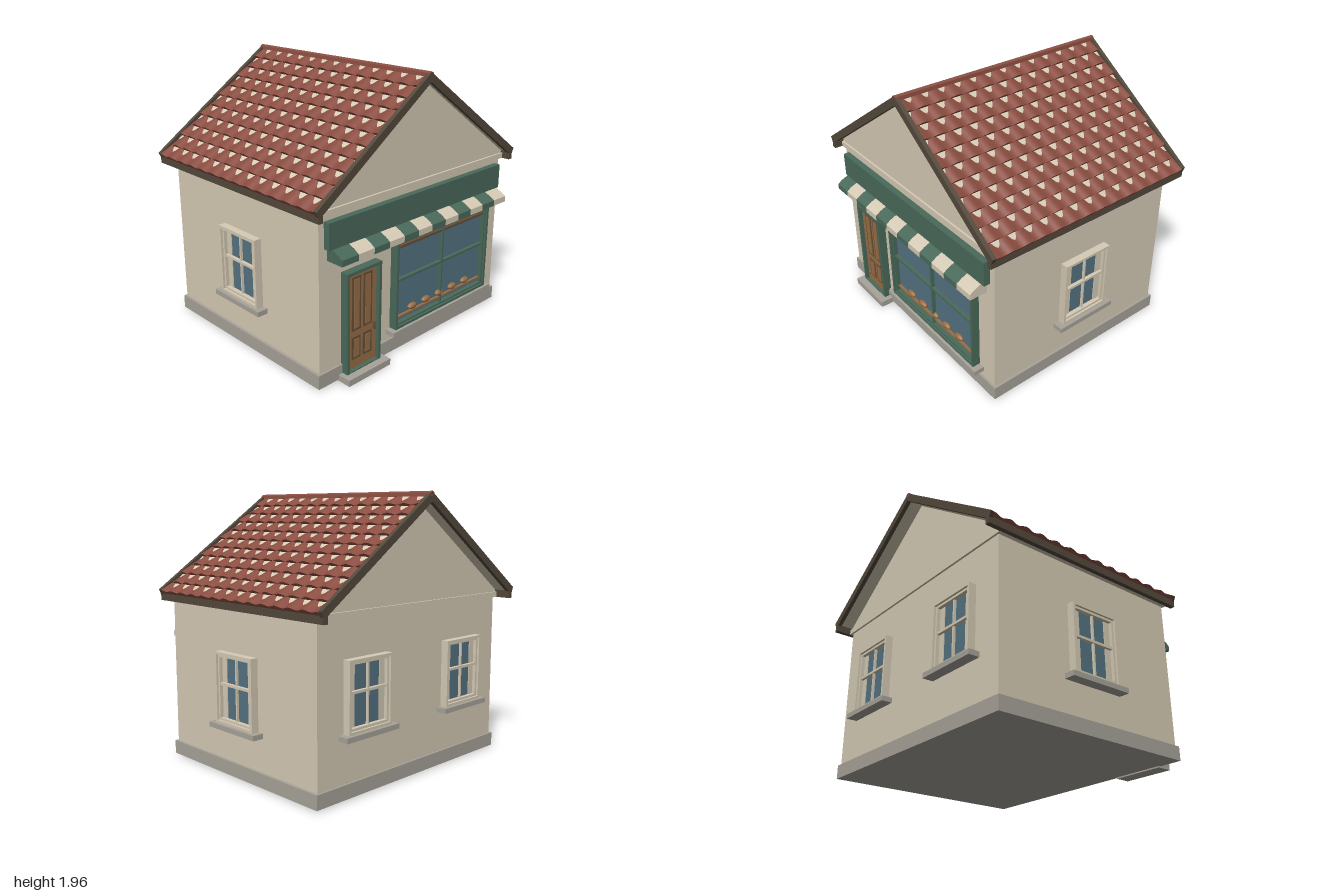
import * as THREE from 'three';

const mat = (name, color, side = THREE.FrontSide) => {
  const m = new THREE.MeshStandardMaterial({ color, side });
  m.name = name;
  return m;
};

export function createModel() {
  const render = mat('cream render', 0xd6cbb5);
  const stone = mat('grey stone', 0xa8a49a);
  const green = mat('shopfront green', 0x4a6a5b);
  const tile = mat('red roof tile', 0x8a4d41, THREE.DoubleSide);
  const timber = mat('dark timber', 0x54493c);
  const wood = mat('door wood', 0x986f47);
  const darkWood = mat('panel moulding', 0x66503a);
  const glass = mat('window glass', 0x557382);

  const house = new THREE.Group();
  house.name = 'shop';

  const add = (parent, name, geometry, material, x = 0, y = 0, z = 0) => {
    const m = new THREE.Mesh(geometry, material);
    m.name = name;
    m.position.set(x, y, z);
    parent.add(m);
    return m;
  };
  // Box given by its lower and upper limits on each axis
  const box = (parent, name, material, x0, x1, y0, y1, z0, z1) =>
    add(parent, name, new THREE.BoxGeometry(x1 - x0, y1 - y0, z1 - z0), material,
      (x0 + x1) / 2, (y0 + y1) / 2, (z0 + z1) / 2);
  const extrude = (points, depth) => new THREE.ExtrudeGeometry(
    new THREE.Shape(points.map(([x, y]) => new THREE.Vector2(x, y))), { depth, bevelEnabled: false });
  // Rectangular surround with an open middle
  const frame = (parent, name, material, x0, x1, y0, y1, t, z0, z1) => {
    const ring = (a, b, c, d) => [[a, c], [b, c], [b, d], [a, d]].map(([x, y]) => new THREE.Vector2(x, y));
    const s = new THREE.Shape(ring(x0, x1, y0, y1));
    s.holes.push(new THREE.Path(ring(x0 + t, x1 - t, y0 + t, y1 - t)));
    add(parent, name, new THREE.ExtrudeGeometry(s, { depth: z1 - z0, bevelEnabled: false }), material, 0, 0, z0);
  };

  // Walls, plinth and gables
  box(house, 'walls', render, -0.92, 0.92, 0.03, 1.2, -0.77, 0.77);
  box(house, 'plinth', stone, -0.94, 0.94, 0.01, 0.11, -0.785, 0.785);
  add(house, 'gables', extrude([[-0.95, 1.18], [0.95, 1.18], [0.95, 1.235], [0, 1.9], [-0.95, 1.235]], 1.54),
    render, 0, 0, -0.77);
  for (const s of [-1, 1])
    add(house, 'gableBand', new THREE.BoxGeometry(1.9, 0.04, 0.02), render, 0, 1.2, s * 0.775);

  // Roof deck, verge boards and eaves boards
  const slope = 0.695;
  const chevron = (top, bottom, x) => [[0, top], [x, top - slope * x], [x, bottom - slope * x], [0, bottom],
    [-x, bottom - slope * x], [-x, top - slope * x]];
  add(house, 'roofDeck', extrude(chevron(1.925, 1.9, 0.97), 1.68), render, 0, 0, -0.865);
  for (const z of [-0.895, 0.815])
    add(house, 'vergeBoard', extrude([[0, 1.955], [1, 1.26], [0.98, 1.215], [0.945, 1.232], [0, 1.89],
      [-0.945, 1.232], [-0.98, 1.215], [-1, 1.26]], 0.03), timber, 0, 0, z);
  for (const s of [-1, 1])
    add(house, 'eavesBoard', new THREE.BoxGeometry(0.035, 0.055, 1.74), timber, s * 0.965, 1.2075, -0.025);

  // Wavy tile courses, each overlapping the next with a half-wave stagger
  const tileSlope = () => {
    const rows = 11, waves = 13, segs = waves * 8, length = 1.68, amp = 0.007, lift = 0.016;
    const c = 1 / Math.hypot(1, slope), sn = slope * c, run = 0.988 / c / rows;
    const pos = [], index = [];
    for (let r = 0; r < rows; r++) {
      const start = pos.length / 3;
      for (let i = 0; i <= segs; i++) {
        const wave = amp * Math.cos((i / 8) * Math.PI * 2 + r * Math.PI);
        const z = (i / segs - 0.5) * length;
        const edge = [[r * run, wave], [(r + 1) * run, wave + lift], [(r + 1) * run, wave + lift], [(r + 1) * run, -0.008]];
        for (const [d, h] of edge) pos.push(d * c + h * sn, 1.925 - d * sn + h * c, z);
      }
      for (let i = 0; i < segs; i++)
        for (const k of [0, 2]) {
          const a = start + i * 4 + k, b = a + 1, e = a + 4, f = a + 5;
          index.push(a, e, b, b, e, f);
        }
    }
    const g = new THREE.BufferGeometry();
    g.setAttribute('position', new THREE.Float32BufferAttribute(pos, 3));
    g.setIndex(index);
    g.computeVertexNormals();
    return g;
  };
  const slopeGeometry = tileSlope();
  for (const turn of [0, Math.PI])
    add(house, 'roofTiles', slopeGeometry, tile, 0, 0, -0.025).rotation.y = turn;
  add(house, 'ridge', extrude([[-0.022, 1.925], [0.022, 1.925], [0.018, 1.95], [0, 1.96], [-0.018, 1.95]], 1.74),
    tile, 0, 0, -0.895);

  // Sash windows, built facing +z with the sill top at y = 0
  const sashWindow = (height, x, y, z, turn) => {
    const g = new THREE.Group();
    g.name = 'sashWindow';
    frame(g, 'windowSurround', render, -0.2, 0.2, 0, height, 0.018, 0, 0.055);
    frame(g, 'sashFrame', render, -0.183, 0.183, 0.017, height - 0.017, 0.018, 0, 0.04);
    box(g, 'pane', glass, -0.17, 0.17, 0.03, height - 0.03, 0, 0.01);
    for (const s of [-1, 1])
      add(g, 'curtain', new THREE.BoxGeometry(0.05, height - 0.06, 0.006), render, s * 0.14, height / 2, 0.012);
    box(g, 'glazingBar', render, -0.006, 0.006, 0.03, height - 0.03, 0.008, 0.028);
    box(g, 'meetingRail', render, -0.17, 0.17, height * 0.55 - 0.009, height * 0.55 + 0.009, 0.008, 0.035);
    box(g, 'windowSill', stone, -0.245, 0.245, -0.036, 0, 0, 0.08);
    g.position.set(x, y, z);
    g.rotation.y = turn;
    house.add(g);
  };
  for (const s of [-1, 1]) {
    sashWindow(0.5, s * 0.92, 0.38, 0, s * Math.PI / 2);
    sashWindow(0.48, s * 0.495, 0.44, -0.77, Math.PI);
  }

  // Front door with raised panels
  const door = new THREE.Group();
  door.name = 'frontDoor';
  house.add(door);
  frame(door, 'doorFrame', green, -0.73, -0.415, 0.03, 0.77, 0.022, 0.77, 0.83);
  box(door, 'doorLeaf', wood, -0.71, -0.435, 0.04, 0.75, 0.77, 0.8);
  for (const x of [-0.623, -0.519])
    for (const [y0, y1] of [[0.33, 0.717], [0.118, 0.283]]) {
      box(door, 'panelMoulding', darkWood, x - 0.04, x + 0.04, y0, y1, 0.799, 0.804);
      box(door, 'doorPanel', wood, x - 0.024, x + 0.024, y0 + 0.017, y1 - 0.017, 0.8, 0.808);
    }
  box(door, 'doorHandle', darkWood, -0.466, -0.458, 0.28, 0.335, 0.8, 0.82);
  box(door, 'doorStep', stone, -0.765, -0.375, 0, 0.045, 0.77, 0.885);

  // Shop window with loaves on a shelf
  const shop = new THREE.Group();
  shop.name = 'shopWindow';
  house.add(shop);
  frame(shop, 'outerFrame', green, -0.265, 0.755, 0.195, 0.855, 0.02, 0.77, 0.83);
  frame(shop, 'innerFrame', green, -0.246, 0.736, 0.214, 0.836, 0.013, 0.77, 0.815);
  box(shop, 'shopPane', glass, -0.24, 0.73, 0.21, 0.84, 0.77, 0.78);
  box(shop, 'mullion', green, 0.238, 0.252, 0.22, 0.83, 0.775, 0.808);
  box(shop, 'transom', green, -0.24, 0.73, 0.542, 0.558, 0.775, 0.808);
  box(shop, 'blindRail', darkWood, -0.235, 0.725, 0.782, 0.8, 0.775, 0.8);
  box(shop, 'displayShelf', wood, -0.235, 0.725, 0.257, 0.27, 0.775, 0.8);
  const loaf = new THREE.SphereGeometry(1, 14, 8);
  for (let i = 0; i < 5; i++)
    add(shop, 'loaf', loaf, wood, -0.055 + i * 0.15, 0.297, 0.79).scale.set(0.045, 0.024, 0.022);
  box(shop, 'shopSill', stone, -0.305, 0.8, 0.16, 0.196, 0.77, 0.85);

  // Blank fascia board and striped awning
  box(house, 'fasciaBoard', green, -0.875, 0.875, 0.97, 1.15, 0.77, 0.817);
  const stripe = 1.695 / 12;
  const awning = extrude([[0.77, 0.885], [0.905, 0.885], [0.905, 0.928], [0.865, 0.953], [0.825, 0.97], [0.77, 0.975]], stripe);
  for (let i = 0; i < 12; i++)
    add(house, 'awningStripe', awning, i % 2 ? render : green, -0.85 + (i + 1) * stripe).rotation.y = -Math.PI / 2;

  return house;
}
